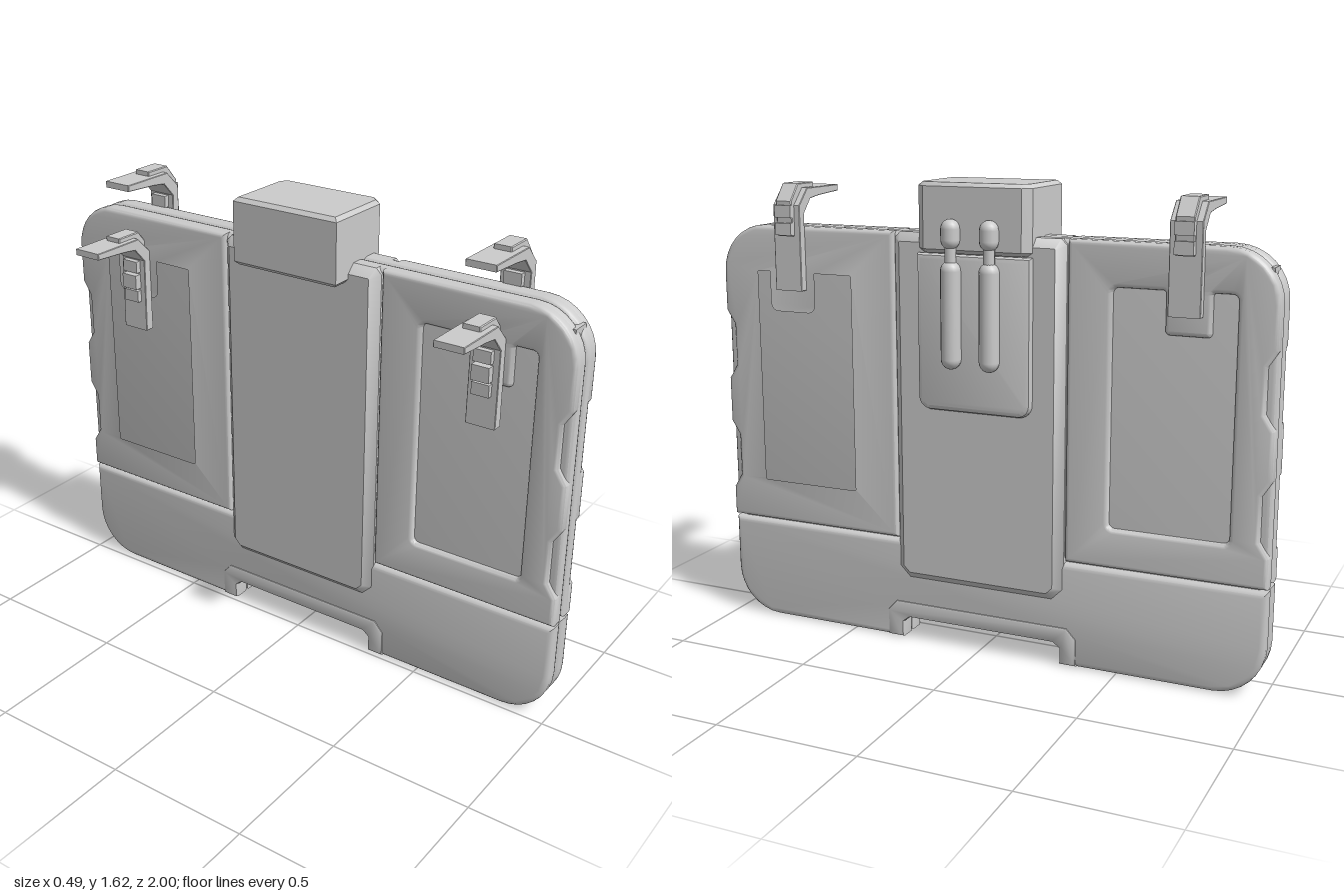
import * as THREE from 'three';
import { toCreasedNormals } from 'three/addons/utils/BufferGeometryUtils.js';

const material = new THREE.MeshStandardMaterial({ color: 0xcccccc });

function add(parent, name, geometry) {
  const mesh = new THREE.Mesh(geometry, material);
  mesh.name = name;
  parent.add(mesh);
  return mesh;
}

// Outline from [u, v, cornerRadius] points
function outline(points, PathType = THREE.Shape) {
  const path = new PathType();
  const n = points.length;
  points.forEach(([u, v, r = 0], i) => {
    const p = new THREE.Vector2(u, v);
    const toward = ([a, b]) => new THREE.Vector2(a, b).sub(p).setLength(r).add(p);
    const a = r ? toward(points[(i + n - 1) % n]) : p;
    if (i === 0) path.moveTo(a.x, a.y);
    else path.lineTo(a.x, a.y);
    if (r) {
      const b = toward(points[(i + 1) % n]);
      // cubic handles approximating a circular corner
      const c1 = a.clone().lerp(p, 0.55), c2 = b.clone().lerp(p, 0.55);
      path.bezierCurveTo(c1.x, c1.y, c2.x, c2.y, b.x, b.y);
    }
  });
  path.closePath();
  return path;
}

// Bevelled extrusion from depth d0 to d1, keeping the outline's size
function slab(points, d0, d1, bevel, segments = 3, hole = null) {
  const shape = outline(points);
  if (hole) shape.holes.push(outline(hole, THREE.Path));
  const g = new THREE.ExtrudeGeometry(shape, {
    depth: d1 - d0 - 2 * bevel, curveSegments: 8,
    bevelEnabled: bevel > 0, bevelThickness: bevel, bevelSize: bevel,
    bevelOffset: -bevel, bevelSegments: segments,
  });
  g.translate(0, 0, d0 + bevel);
  return toCreasedNormals(g, 0.6);
}

// Plate drawn in (z, y), extruded along x
function plate(points, x0, x1, bevel, segments, hole) {
  const flip = (list) => list && list.map(([z, y, r]) => [-z, y, r]);
  return slab(flip(points), x0, x1, bevel, segments, flip(hole)).rotateY(Math.PI / 2);
}

// One half of the case, its outer face toward +x
function caseHalf() {
  const half = new THREE.Group();
  const top = 1.45, seam = 0.375;

  // Upper backing layer, seen at the side notches and recess floors
  add(half, 'upperBacking', plate(
    [[-1, seam], [1, seam], [1, top, 0.17], [-1, top, 0.17]], 0, 0.052, 0.018));

  for (const s of [1, -1]) {
    const side = (list) => list.map(([z, y, r]) => [s * z, y, r]);
    // Side panel with grip notches and a recess that steps round the clip pad
    const edge = side([
      [0.315, seam], [1, seam], [1, 0.48], [0.968, 0.53], [0.968, 0.68], [1, 0.73],
      [1, 0.89], [0.968, 0.94], [0.968, 1.09], [1, 1.14], [1, top, 0.17], [0.315, top]]);
    const recess = side([
      [0.465, 0.51, 0.02], [0.87, 0.51, 0.02], [0.87, 1.305, 0.02], [0.79, 1.305, 0.01],
      [0.79, 1.165, 0.015], [0.64, 1.165, 0.015], [0.64, 1.305, 0.01], [0.465, 1.305, 0.02]]);
    add(half, s > 0 ? 'leftPanel' : 'rightPanel', plate(edge, 0.022, 0.07, 0.015, 3, recess));
  }

  // Lower section with a handle cutout
  add(half, 'lowerSection', plate(
    [[-1, 0, 0.17], [-0.32, 0], [-0.32, 0.1], [0.32, 0.1], [0.32, 0],
      [1, 0, 0.17], [1, 0.365], [-1, 0.365]], 0, 0.064, 0.02));
  // Rim around the cutout
  add(half, 'cutoutRim', plate(
    [[-0.36, 0.003], [-0.298, 0.003], [-0.298, 0.06], [-0.275, 0.078], [0.275, 0.078],
      [0.298, 0.06], [0.298, 0.003], [0.36, 0.003], [0.36, 0.1], [0.325, 0.138],
      [-0.325, 0.138], [-0.36, 0.1]], 0, 0.069, 0.01, 2));

  // Raised centre panel with a wide chamfer
  add(half, 'centrePanel', plate(
    [[-0.27, 0.23], [0.27, 0.23], [0.31, 0.27], [0.31, top - 0.02], [0.29, top],
      [-0.29, top], [-0.31, top - 0.02], [-0.31, 0.27]], 0, 0.09, 0.03, 1));
  return half;
}

// Hook clip: upright leg at the right, arm reaching toward -x
function clip() {
  const group = new THREE.Group();
  const w = 0.105;
  const centred = (points, width, bevel) =>
    slab(points, -width / 2, width / 2, bevel, 1);
  add(group, 'clipHook', centred([
    [0.145, 1.23], [0.18, 1.23], [0.18, 1.525], [0.125, 1.582], [-0.08, 1.582],
    [-0.08, 1.56], [0.05, 1.552], [0.105, 1.545], [0.15, 1.495]], w, 0.002));
  // Outer strap over the bend
  add(group, 'clipStrap', centred([
    [0.17, 1.42], [0.19, 1.42], [0.197, 1.54], [0.15, 1.598], [0.05, 1.598],
    [0.05, 1.572], [0.12, 1.572], [0.17, 1.52]], 0.062, 0.003));
  // Ribs on both faces of the leg
  for (const y of [1.445, 1.505]) {
    const rib = add(group, 'clipRib', new THREE.BoxGeometry(0.025, 0.042, 0.062));
    rib.position.set(0.192, y, 0);
  }
  for (const [y, h] of [[1.36, 0.05], [1.415, 0.06], [1.47, 0.05]]) {
    const rib = add(group, 'clipInnerRib', new THREE.BoxGeometry(0.03, h - 0.008, 0.062));
    rib.position.set(h > 0.055 ? 0.138 : 0.145, y, 0);
  }
  return group;
}

// Rounded tube standing upright
function capsule(r, y0, y1) {
  return new THREE.CapsuleGeometry(r, y1 - y0 - 2 * r, 6, 16).translate(0, (y0 + y1) / 2, 0);
}

export function createModel() {
  const model = new THREE.Group();
  model.name = 'case';

  // Two matching halves, back to back
  for (const i of [0, 1]) {
    const half = caseHalf();
    half.name = i ? 'rightHalf' : 'leftHalf';
    half.position.x = 0.08;
    half.rotation.y = i * Math.PI;
    model.add(half);
  }
  // Core closing the seams
  add(model, 'core', new THREE.BoxGeometry(0.07, 1.22, 1.94)).position.set(0.08, 0.78, 0);

  // Latch box on top with an open tray, and its hanging flap
  const latch = new THREE.Group();
  latch.name = 'latch';
  model.add(latch);
  const boxEdge = [[-0.08, -0.203], [0.17, -0.203], [0.197, -0.175], [0.197, 0.175],
    [0.17, 0.203], [-0.08, 0.203]];
  const tray = [[-0.055, -0.155], [0.115, -0.155], [0.115, 0.155], [-0.055, 0.155]];
  add(latch, 'latchBox', slab(boxEdge, 1.39, 1.62, 0.013, 1, tray).rotateX(-Math.PI / 2));
  add(latch, 'trayFloor', new THREE.BoxGeometry(0.2, 0.2, 0.34)).position.set(0.03, 1.5, 0);
  add(latch, 'latchFlap', plate(
    [[-0.205, 0.86, 0.045], [0.205, 0.86, 0.045], [0.205, 1.387], [-0.205, 1.387]],
    0.13, 0.195, 0.018, 2));

  // Pair of round latch pins
  for (const z of [-0.067, 0.071]) {
    const pin = new THREE.Group();
    pin.name = 'latchPin';
    pin.position.set(0.207, 0, z);
    add(pin, 'pinBody', capsule(0.034, 1.01, 1.37));
    add(pin, 'pinHead', capsule(0.032, 1.405, 1.505));
    add(pin, 'pinLink', new THREE.CylinderGeometry(0.019, 0.019, 0.11, 12)).position.y = 1.385;
    latch.add(pin);
  }

  // Hook clips: one pair on each face, the right pair set lower
  for (const z of [-0.71, 0.71]) {
    for (const [name, x, y] of [['leftClip', 0, 0], ['rightClip', -0.168, -0.2]]) {
      const c = clip();
      c.name = name;
      c.position.set(x, y, z);
      model.add(c);
    }
  }
  return model;
}
